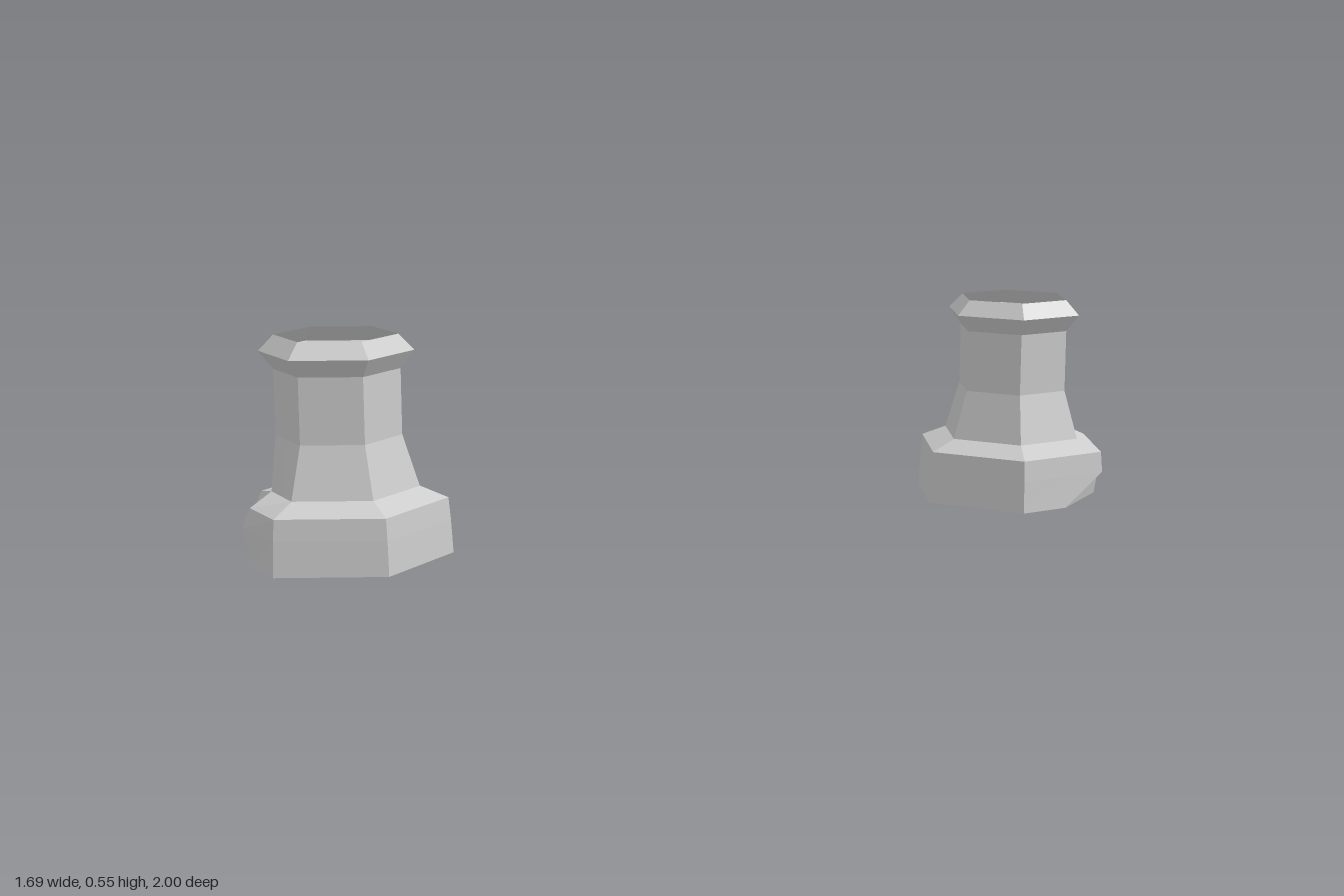
import * as THREE from 'three';

// Profile from ground to top: [radius at the corners, height]
const PROFILE = [
  [0.275, 0], [0.27, 0.085], [0.265, 0.14], [0.195, 0.17],
  [0.155, 0.30], [0.155, 0.465], [0.19, 0.51], [0.152, 0.55],
];

// Columns round the hexagon: whole numbers are corners, fractions lie on an edge
const COLUMNS = [0, 0.48, 1, 2, 3, 3.5, 4, 4.5, 5, 5.54, 5.65];

// Damage: points moved per ring, keyed by column (dent at corner 4, chip at corner 0)
const INNER = [-0.105, 0.165, -0.13];
const HOLLOW = [-0.11, 0.075, -0.165];
const CHIP = { c: [0.21, 0, 0.115], a: [0.24, 0.05, 0.015], e: [0.226, 0.055, -0.085], d: [0.21, 0, -0.11] };
const DAMAGE = [
  { 3.5: [-0.205, 0, -0.12], 4: HOLLOW, 4.5: [-0.03, 0, -0.24], 0: CHIP.a, 0.48: CHIP.c, 5.54: CHIP.d, 5.65: CHIP.e },
  { 3.5: [-0.18, 0.085, -0.165], 4: HOLLOW, 4.5: [-0.055, 0.085, -0.235] },
  { 3.5: [-0.19, 0.14, -0.13], 4: INNER, 4.5: [-0.02, 0.14, -0.23] },
  { 4: INNER },
];

// One ring of points on the hexagon, with its moved points
function ring([r, y], moved = {}) {
  const corner = (i) => {
    const k = i % 6;
    if (moved[k] && y > 0.15) return new THREE.Vector3(...moved[k]);
    return new THREE.Vector3(r * Math.cos(k * Math.PI / 3), y, r * Math.sin(k * Math.PI / 3));
  };
  return COLUMNS.map((u) => {
    if (moved[u]) return new THREE.Vector3(...moved[u]);
    const i = Math.floor(u);
    return corner(i).lerp(corner(i + 1), u - i);
  });
}

// Flat-sided geometry from a list of triangles
function fromTriangles(points) {
  const geometry = new THREE.BufferGeometry().setFromPoints(points);
  geometry.computeVertexNormals();
  return geometry;
}

// Skin between consecutive rings
function skin(from, to) {
  const points = [];
  const add = (a, b, c) => {
    const area = b.clone().sub(a).cross(c.clone().sub(a)).length();
    if (area > 1e-6) points.push(a, b, c);
  };
  for (let i = from; i < to; i++) {
    const low = ring(PROFILE[i], DAMAGE[i]);
    const up = ring(PROFILE[i + 1], DAMAGE[i + 1]);
    low.forEach((p, j) => {
      const k = (j + 1) % low.length;
      add(low[k], p, up[j]);
      add(low[k], up[j], up[k]);
    });
  }
  return fromTriangles(points);
}

export function createModel() {
  const stone = new THREE.MeshStandardMaterial({ color: 0xcccccc, side: THREE.DoubleSide, flatShading: true });
  stone.name = 'pale grey stone';

  const v = (p) => new THREE.Vector3(...p);
  const { a, c, d, e } = CHIP;
  const parts = {
    brokenBase: skin(0, 3),
    shaft: skin(3, 5),
    rim: skin(5, 7),
    chippedCorner: fromTriangles([c, e, a, c, d, e].map(v)),
  };

  // Two hollow pillars, the second turned a little over a quarter
  const model = new THREE.Group();
  model.name = 'ruinedPillars';
  const places = [
    ['backPillar', 0.577, -0.76, 0],
    ['frontPillar', -0.6, 0.722, 92],
  ];
  for (const [name, x, z, turn] of places) {
    const pillar = new THREE.Group();
    pillar.name = name;
    for (const [part, geometry] of Object.entries(parts)) {
      const mesh = new THREE.Mesh(geometry, stone);
      mesh.name = part;
      pillar.add(mesh);
    }
    pillar.position.set(x, 0, z);
    pillar.rotation.y = THREE.MathUtils.degToRad(turn);
    model.add(pillar);
  }
  return model;
}
